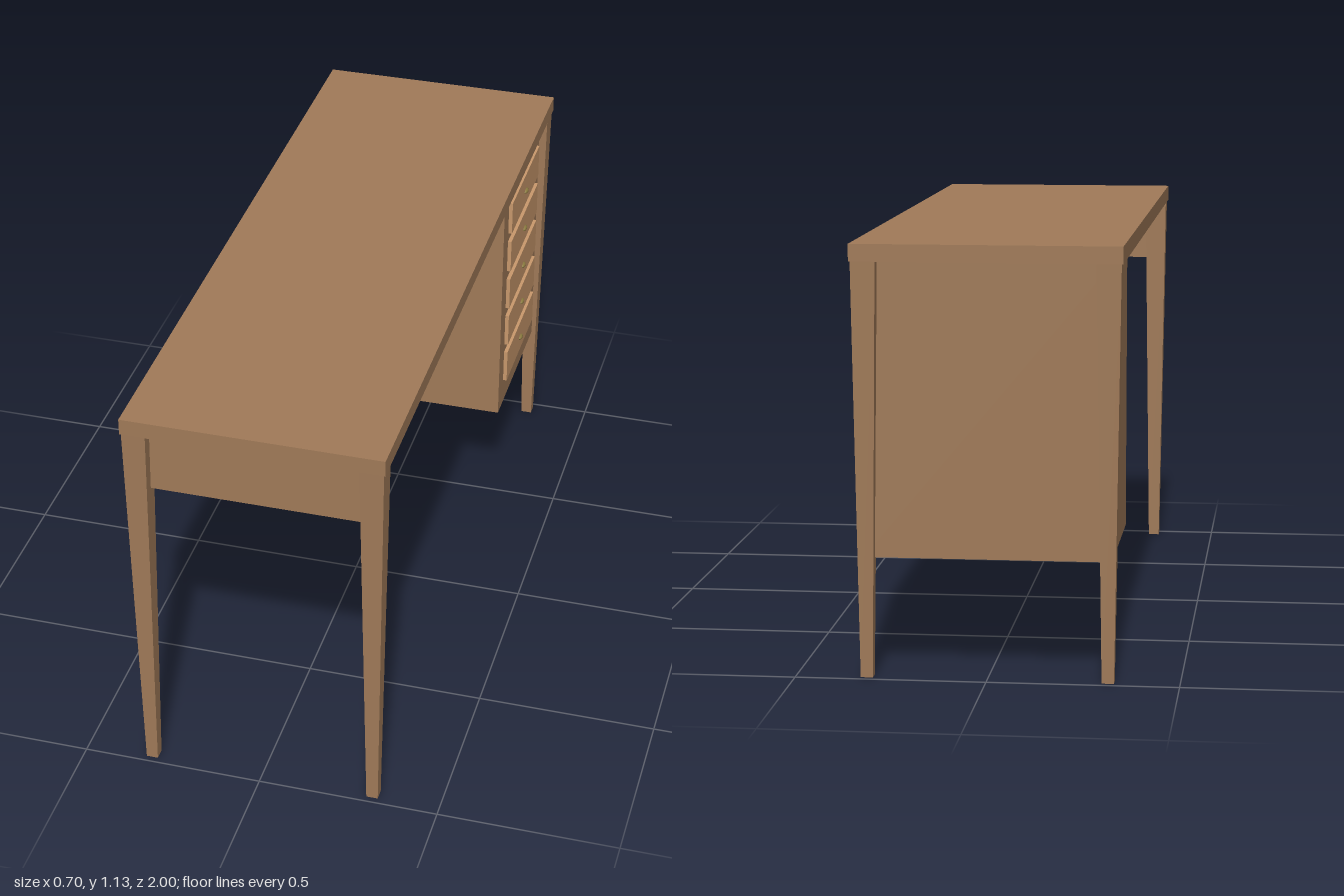
import * as THREE from 'three';

const wood = new THREE.MeshStandardMaterial({ color: 0xa07a58 });
const paleWood = new THREE.MeshStandardMaterial({ color: 0xc8986c });
const brass = new THREE.MeshStandardMaterial({ color: 0x8a7a40 });

// Box given by its minimum and maximum corners
function box(name, min, max, material) {
  const size = max.map((v, i) => v - min[i]);
  const mesh = new THREE.Mesh(new THREE.BoxGeometry(...size), material);
  mesh.position.set(...max.map((v, i) => (v + min[i]) / 2));
  mesh.name = name;
  return mesh;
}

// Square leg, half as wide at the foot as at the top
function taperedLeg(height, top, foot) {
  const geometry = new THREE.BoxGeometry(top, height, top);
  const p = geometry.attributes.position;
  for (let i = 0; i < p.count; i++) {
    if (p.getY(i) < 0) {
      p.setX(i, p.getX(i) * foot / top);
      p.setZ(i, p.getZ(i) * foot / top);
    }
  }
  geometry.translate(0, height / 2, 0);
  geometry.computeVertexNormals();
  return geometry;
}

export function createModel() {
  const desk = new THREE.Group();
  desk.name = 'desk';
  const underside = 1.087;

  desk.add(box('tableTop', [-0.35, underside, -1], [0.35, 1.132, 1], wood));

  // Four tapered legs
  const legGeometry = taperedLeg(underside, 0.064, 0.032);
  for (const [zName, z] of [['front', 0.966], ['back', -0.966]]) {
    for (const [xName, x] of [['Left', 0.314], ['Right', -0.314]]) {
      const leg = new THREE.Mesh(legGeometry, wood);
      leg.name = `${zName}${xName}Leg`;
      leg.position.set(x, 0, z);
      desk.add(leg);
    }
  }

  // Rail between the front legs
  desk.add(box('apron', [-0.3, 0.908, 0.94], [0.3, underside, 0.965], wood));

  // Drawer cabinet between the back legs
  desk.add(box('cabinet', [-0.322, 0.315, -0.962], [0.322, underside, -0.465], wood));

  // Drawers with flattened oval knobs
  const knobGeometry = new THREE.SphereGeometry(1, 20, 12);
  for (let i = 0; i < 5; i++) {
    const y = 0.448 + i * 0.13;
    const drawer = new THREE.Group();
    drawer.name = `drawer${i + 1}`;
    drawer.add(box('drawerFront', [0.31, y - 0.051, -0.891], [0.333, y + 0.051, -0.525], paleWood));
    const knob = new THREE.Mesh(knobGeometry, brass);
    knob.name = 'knob';
    knob.scale.set(0.008, 0.007, 0.016);
    knob.position.set(0.333, y - 0.004, -0.708);
    drawer.add(knob);
    desk.add(drawer);
  }
  return desk;
}
